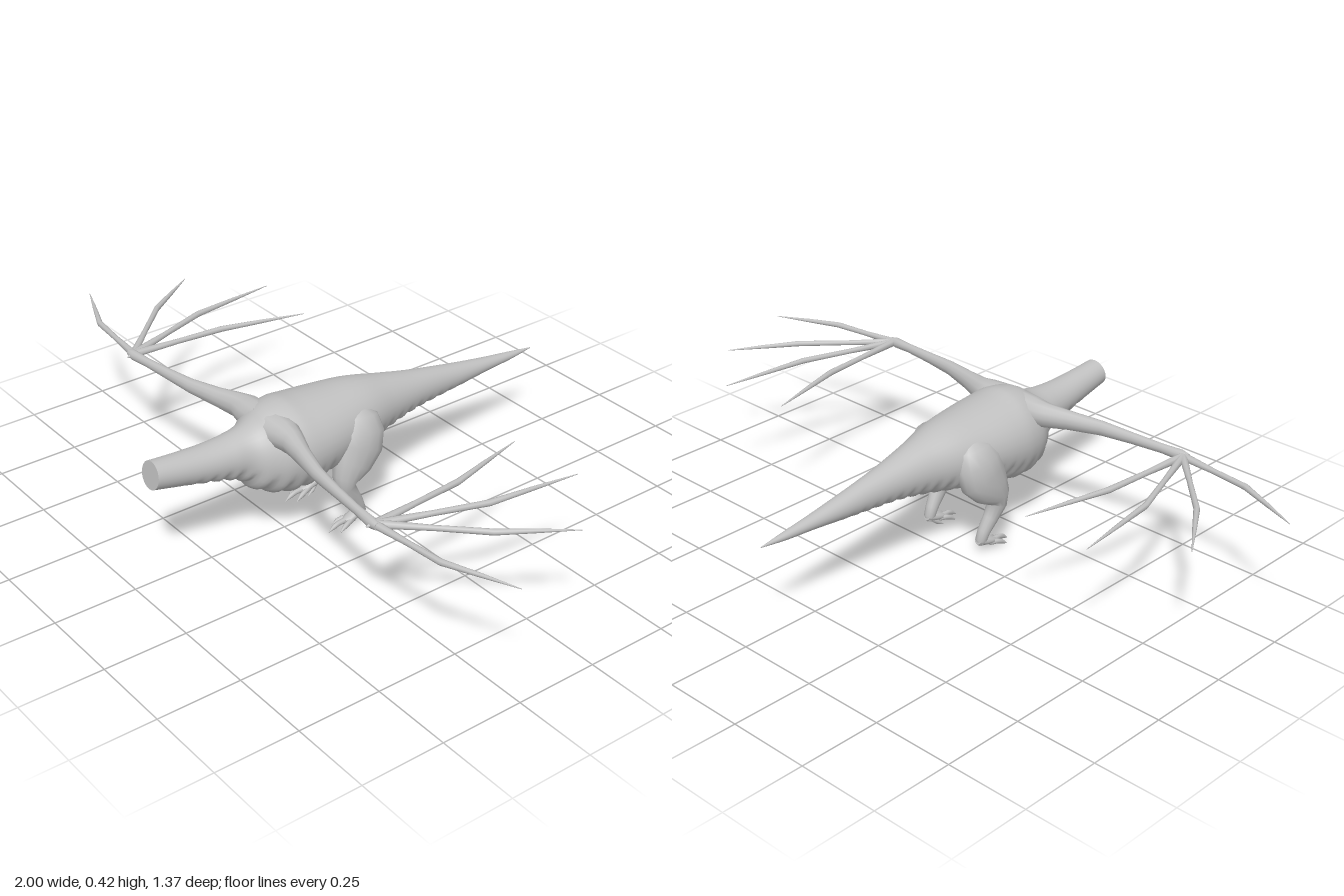
import * as THREE from 'three';

const V = (x, y, z) => new THREE.Vector3(x, y, z);

// Lofts elliptical rings [x, y, z, a, b]; b lies towards "up", a across it.
function loft(rings, up, sides, offset) {
  const pos = [], idx = [], n = rings.length;
  const c = rings.map(r => V(r[0], r[1], r[2]));
  rings.forEach((r, i) => {
    const t = c[Math.min(i + 1, n - 1)].clone().sub(c[Math.max(i - 1, 0)]).normalize();
    const u = up.clone().cross(t).normalize(), v = t.clone().cross(u);
    for (let j = 0; j < sides; j++) {
      const th = j / sides * Math.PI * 2;
      const k = offset ? offset(th, r[2]) : 0;
      const p = c[i].clone().addScaledVector(u, (r[3] + k) * Math.cos(th)).addScaledVector(v, (r[4] + k) * Math.sin(th));
      pos.push(p.x, p.y, p.z);
      if (i < n - 1) {
        const a = i * sides + j, b = i * sides + (j + 1) % sides;
        idx.push(a, b, a + sides, b, b + sides, a + sides);
      }
    }
  });
  // Flat end caps with their own vertices
  for (const [i, flip] of [[0, true], [n - 1, false]]) {
    const base = pos.length / 3;
    for (let j = 0; j < sides; j++) pos.push(...pos.slice((i * sides + j) * 3, (i * sides + j) * 3 + 3));
    for (let j = 1; j < sides - 1; j++) {
      idx.push(base, base + (flip ? j + 1 : j), base + (flip ? j : j + 1));
    }
  }
  const g = new THREE.BufferGeometry();
  g.setAttribute('position', new THREE.Float32BufferAttribute(pos, 3));
  g.setIndex(idx);
  g.computeVertexNormals();
  return g;
}

// Body profile, tail to neck: z, top y, bottom y, half width
const PROFILE = [
  [-0.68, 0.278, 0.275, 0.001], [-0.6, 0.289, 0.266, 0.012], [-0.5, 0.302, 0.26, 0.022],
  [-0.4, 0.318, 0.251, 0.032], [-0.3, 0.336, 0.243, 0.041], [-0.2, 0.355, 0.236, 0.055],
  [-0.1, 0.378, 0.22, 0.075], [0, 0.4, 0.2, 0.105], [0.1, 0.409, 0.185, 0.127],
  [0.18, 0.416, 0.168, 0.138], [0.25, 0.423, 0.152, 0.139], [0.31, 0.416, 0.163, 0.125],
  [0.35, 0.402, 0.185, 0.098], [0.39, 0.38, 0.222, 0.07], [0.44, 0.37, 0.244, 0.06],
  [0.5, 0.367, 0.258, 0.054], [0.6, 0.372, 0.28, 0.046], [0.68, 0.379, 0.298, 0.041],
];

export function createModel() {
  const model = new THREE.Group();
  model.name = 'wingedReptile';
  const skin = new THREE.MeshStandardMaterial({ color: 0xc0c0c0 });
  skin.name = 'greySkin';
  const add = (parent, name, geometry) => {
    const m = new THREE.Mesh(geometry, skin);
    m.name = name;
    parent.add(m);
    return m;
  };
  const group = name => {
    const g = new THREE.Group();
    g.name = name;
    model.add(g);
    return g;
  };

  // Neck, torso and tail in one skin, with scalloped belly plates
  const spline = new THREE.CubicInterpolant(PROFILE.map(p => p[0]), PROFILE.flatMap(p => p.slice(1)), 3);
  const rings = [];
  const STEPS = 170;
  for (let i = 0; i <= STEPS; i++) {
    const z = -0.68 + 1.36 * i / STEPS;
    const [top, bottom, w] = spline.evaluate(z);
    rings.push([0, (top + bottom) / 2, z, w, (top - bottom) / 2]);
  }
  const bellyPlates = (th, z) => {
    const under = THREE.MathUtils.smoothstep(-Math.sin(th), 0.3, 0.65);
    const reach = THREE.MathUtils.smoothstep(z, -0.5, 0.05) * (1 - THREE.MathUtils.smoothstep(z, 0.4, 0.62));
    return under * reach * (0.011 * Math.abs(Math.sin(z * Math.PI / 0.042)) - 0.006);
  };
  add(model, 'body', loft(rings, V(0, 1, 0), 32, bellyPlates));

  for (const s of [1, -1]) {
    const side = s > 0 ? 'left' : 'right';
    const limb = (parent, name, pts, up, sides) =>
      add(parent, name, loft(pts.map(([x, ...r]) => [x * s, ...r]), up, sides));
    const Y = V(0, 1, 0), Z = V(0, 0, 1);

    // Wing arm, wrist and four long finger bones
    const wing = group(side + 'Wing');
    limb(wing, 'wingArm', [
      [0.03, 0.36, 0.3, 0.05, 0.05], [0.09, 0.363, 0.3, 0.045, 0.043], [0.13, 0.363, 0.305, 0.033, 0.037],
      [0.2, 0.363, 0.325, 0.024, 0.029], [0.3, 0.363, 0.35, 0.018, 0.022], [0.4, 0.362, 0.362, 0.014, 0.017],
      [0.5, 0.361, 0.372, 0.012, 0.014], [0.56, 0.36, 0.377, 0.015, 0.016], [0.585, 0.36, 0.378, 0.01, 0.011],
    ], Y, 12);
    const fingers = [
      [[0.8, 0.35], [1, 0.267]], [[0.78, 0.16], [0.905, -0.025]],
      [[0.672, 0.08], [0.706, -0.2]], [[0.546, 0.08], [0.48, -0.18]],
    ];
    for (const [[kx, kz], [tx, tz]] of fingers) {
      limb(wing, 'wingFinger', [
        [0.57, 0.36, 0.375, 0.012, 0.012],
        [0.57 + (kx - 0.57) * 0.5, 0.359, (0.375 + kz) / 2, 0.008, 0.008],
        [kx, 0.358, kz, 0.009, 0.009],
        [(kx + tx) / 2, 0.357, (kz + tz) / 2, 0.006, 0.006],
        [tx, 0.355, tz, 0.001, 0.001],
      ], Y, 8);
    }
    limb(wing, 'thumbClaw', [[0.568, 0.36, 0.37, 0.011, 0.011], [0.565, 0.358, 0.398, 0.002, 0.002]], Y, 8);

    // Leg: heavy thigh, bent knee and backward sloping shin
    const leg = group(side + 'Leg');
    limb(leg, 'thighAndShin', [
      [0.075, 0.36, 0.045, 0.01, 0.02], [0.083, 0.335, 0.046, 0.038, 0.06], [0.092, 0.295, 0.05, 0.053, 0.078],
      [0.1, 0.25, 0.062, 0.051, 0.082], [0.108, 0.205, 0.09, 0.042, 0.065], [0.111, 0.17, 0.113, 0.034, 0.044],
      [0.11, 0.14, 0.117, 0.028, 0.032], [0.108, 0.1, 0.092, 0.022, 0.026], [0.105, 0.065, 0.068, 0.019, 0.02],
      [0.104, 0.04, 0.058, 0.017, 0.018], [0.104, 0.025, 0.058, 0.01, 0.012],
    ], Z, 14);

    // Foot with three front toes, a hind toe and pointed claws
    limb(leg, 'foot', [
      [0.104, 0.042, 0.045, 0.012, 0.012], [0.104, 0.034, 0.07, 0.019, 0.014], [0.104, 0.024, 0.1, 0.018, 0.01],
      [0.104, 0.02, 0.112, 0.012, 0.008],
    ], Y, 10);
    for (const [dx, z] of [[-0.022, 0.145], [0, 0.17], [0.022, 0.145]]) {
      limb(leg, 'toe', [
        [0.104 + dx * 0.3, 0.022, 0.085, 0.008, 0.009], [0.104 + dx * 0.7, 0.02, z - 0.035, 0.007, 0.008],
        [0.104 + dx * 0.85, 0.015, z - 0.02, 0.007, 0.008], [0.104 + dx, 0.002, z, 0.001, 0.001],
      ], Y, 8);
    }
    limb(leg, 'hindToe', [
      [0.1, 0.028, 0.065, 0.009, 0.009], [0.092, 0.014, 0.08, 0.006, 0.007], [0.088, 0.001, 0.1, 0.001, 0.001],
    ], Y, 8);
  }
  return model;
}
